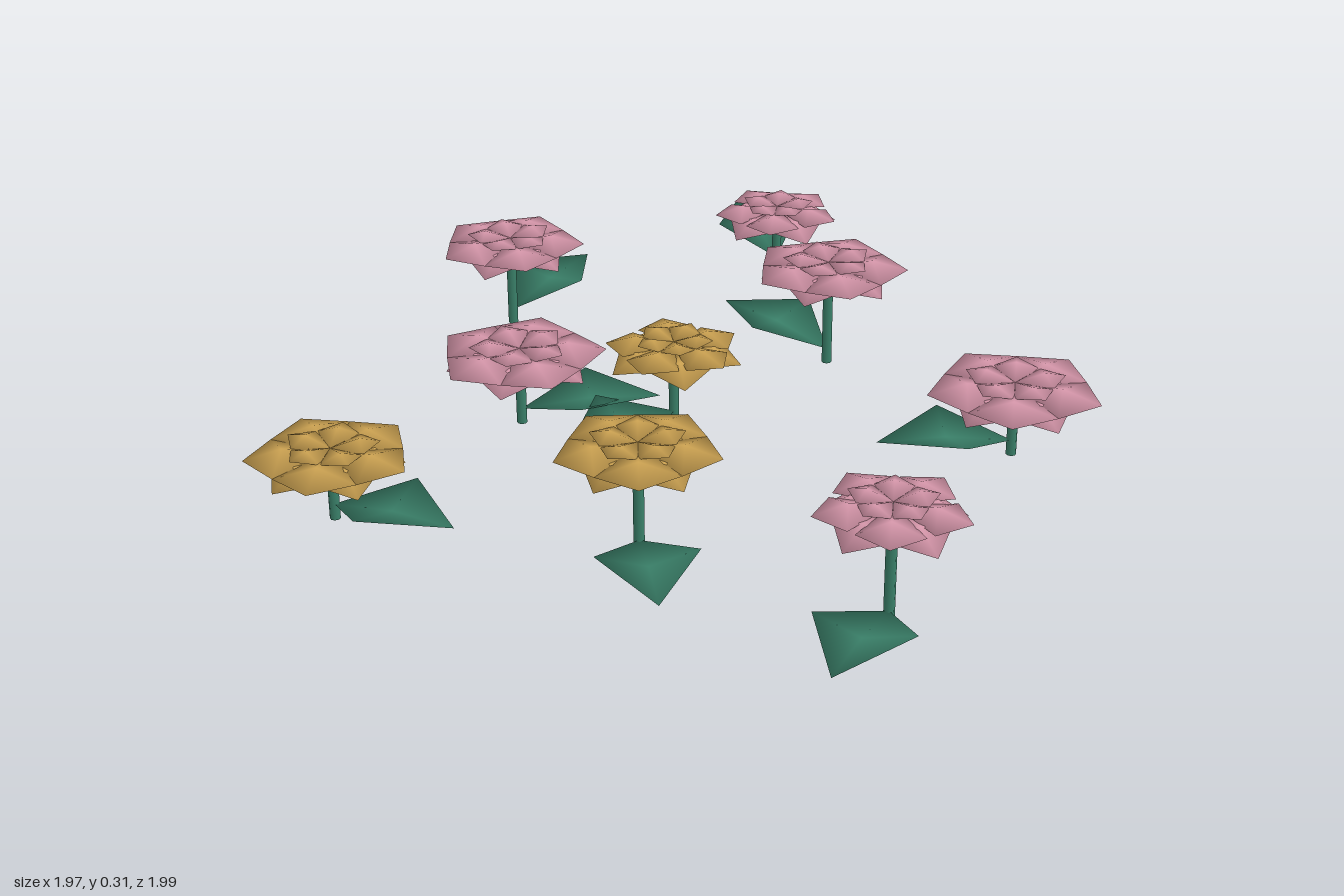
import * as THREE from 'three';

const mat = (color) => new THREE.MeshStandardMaterial({ color });

// Thin closed kite blade along +x; upper and lower faces share a soft rim
function blade(base, mid, tip, corner, thickness) {
  const [cx, cy, w] = corner;
  const g = new THREE.BufferGeometry();
  g.setAttribute('position', new THREE.Float32BufferAttribute([
    base[0], base[1], 0, mid[0], mid[1], 0, tip[0], tip[1], 0,
    cx, cy, -w, cx, cy, w, mid[0], mid[1] - thickness, 0], 3));
  g.setIndex([
    0, 1, 3, 1, 2, 3, 0, 4, 1, 1, 4, 2,
    0, 3, 5, 5, 3, 2, 0, 5, 4, 5, 2, 4]);
  g.computeVertexNormals();
  return g;
}

// Ring of five petals around the flower centre
function petalRing(name, geometry, material, turn) {
  const ring = new THREE.Group();
  ring.name = name;
  for (let i = 0; i < 5; i++) {
    const petal = new THREE.Mesh(geometry, material);
    petal.name = 'petal';
    petal.rotation.y = turn + i * Math.PI * 2 / 5;
    ring.add(petal);
  }
  return ring;
}

export function createModel() {
  const model = new THREE.Group();
  model.name = 'flowerPatch';
  const pink = mat(0xd898ac), yellow = mat(0xcda352), green = mat(0x3a8069);
  const leafGeo = blade([0, 0.035], [0.16, 0.064], [0.325, 0.07], [0.145, 0.088, 0.112], 0.01);

  // x, z, top height, radius, petal width, petal angle, leaf direction x and z, colour
  const flowers = [
    [-0.55, -0.83, 0.20, 0.165, 0.42, -90, -0.29, -0.15, pink],
    [-0.08, -0.50, 0.285, 0.192, 0.49, -111, -0.32, 0.02, pink],
    [0.545, -0.43, 0.20, 0.205, 0.49, -90, -0.17, 0.27, pink],
    [-0.81, -0.12, 0.25, 0.185, 0.49, -42, -0.06, -0.32, pink],
    [-0.115, 0, 0.232, 0.16, 0.42, 0, -0.005, 0.32, yellow],
    [-0.38, 0.24, 0.21, 0.202, 0.49, 21, 0.23, -0.22, pink],
    [0.255, 0.48, 0.288, 0.185, 0.49, -100, 0.26, 0.20, yellow],
    [0.82, 0.33, 0.305, 0.168, 0.42, -20, 0.11, 0.30, pink],
    [-0.335, 0.83, 0.19, 0.188, 0.49, -90, 0.31, -0.07, yellow],
  ];

  for (const [x, z, top, r, width, deg, lx, lz, petalMat] of flowers) {
    const flower = new THREE.Group();
    flower.name = 'flower';
    flower.position.set(x, 0, z);

    // Stem and its single leaf
    const h = top - 0.025;
    const stem = new THREE.Mesh(new THREE.CylinderGeometry(0.012, 0.012, h, 8), green);
    stem.name = 'stem';
    stem.position.y = h / 2;
    const leaf = new THREE.Mesh(leafGeo, green);
    leaf.name = 'leaf';
    leaf.rotation.y = -Math.atan2(lz, lx);

    // Three stacked petal rings, each offset by half a petal
    const head = new THREE.Group();
    head.name = 'flowerHead';
    head.position.y = top;
    const turn = -deg * Math.PI / 180, half = Math.PI / 5;
    const low = Math.max(0.158, r * 0.85);
    head.add(
      petalRing('lowerPetals', blade([0, -0.035], [low * 0.6, -0.027], [low, -0.068],
        [low * 0.64, -0.043, low * 0.46], 0.016), petalMat, turn + half),
      petalRing('middlePetals', blade([0, -0.025], [r * 0.55, -0.01], [r, -0.032],
        [r * 0.67, -0.033, r * width], 0.016), petalMat, turn),
      petalRing('innerPetals', blade([0, -0.018], [r * 0.34, 0], [r * 0.58, -0.01],
        [r * 0.36, -0.015, r * 0.26], 0.014), petalMat, turn + half));

    flower.add(stem, leaf, head);
    model.add(flower);
  }
  return model;
}
